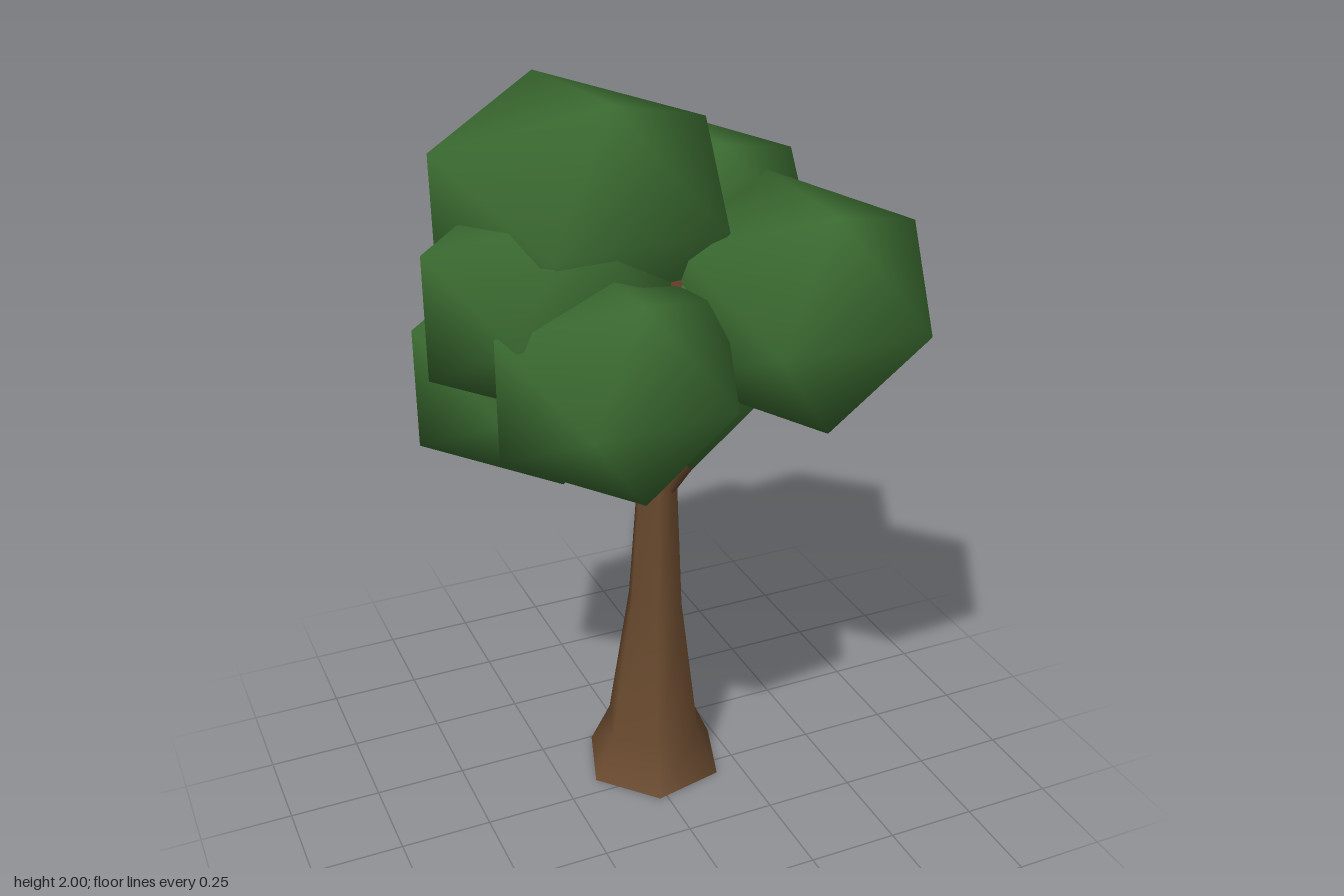
import * as THREE from 'three';
import { mergeVertices } from 'three/addons/utils/BufferGeometryUtils.js';

const material = (name, color) => {
  const m = new THREE.MeshStandardMaterial({ color });
  m.name = name;
  return m;
};

// Tapered limb through horizontal rings [x, y, z, radius], smooth sides and flat end caps
function limb(rings, sides, turn = 0) {
  const pos = [], index = [];
  const addRing = ([x, y, z, r]) => {
    const start = pos.length / 3;
    for (let i = 0; i < sides; i++) {
      const a = turn + (i / sides) * Math.PI * 2;
      pos.push(x + r * Math.sin(a), y, z + r * Math.cos(a));
    }
    return start;
  };
  const starts = rings.map(addRing);
  for (let k = 0; k < rings.length - 1; k++) {
    for (let i = 0; i < sides; i++) {
      const j = (i + 1) % sides;
      const a = starts[k] + i, b = starts[k] + j, c = starts[k + 1] + j, d = starts[k + 1] + i;
      index.push(a, b, c, a, c, d);
    }
  }
  const bottom = addRing(rings[0]), top = addRing(rings[rings.length - 1]);
  for (let i = 1; i < sides - 1; i++) {
    index.push(bottom, bottom + i + 1, bottom + i, top, top + i, top + i + 1);
  }
  const g = new THREE.BufferGeometry();
  g.setAttribute('position', new THREE.Float32BufferAttribute(pos, 3));
  g.setIndex(index);
  g.computeVertexNormals();
  return g;
}

// Smooth-shaded twenty-sided clump with half extents of 1 and its top edge along z
function clumpGeometry() {
  const g = new THREE.IcosahedronGeometry(1.1756, 0);
  g.deleteAttribute('uv');
  g.deleteAttribute('normal');
  const merged = mergeVertices(g, 1e-3);
  merged.rotateY(Math.PI / 2);
  merged.computeVertexNormals();
  return merged;
}

export function createModel() {
  const tree = new THREE.Group();
  tree.name = 'tree';
  const bark = material('bark brown', 0x6b4b2f);
  const leaf = material('leaf green', 0x3a6a30);
  const wood = material('inner red brown', 0x6b402a);

  const add = (name, geometry, mat, parent = tree) => {
    const mesh = new THREE.Mesh(geometry, mat);
    mesh.name = name;
    parent.add(mesh);
    return mesh;
  };

  // Leaning trunk with a flared foot
  add('trunk', limb([
    [0.04, 0.005, -0.095, 0.203],
    [0.04, 0.14, -0.095, 0.141],
    [0.035, 0.57, -0.07, 0.08],
    [0.026, 0.98, -0.035, 0.056],
    [0.02, 1.25, -0.02, 0.045],
  ], 6, THREE.MathUtils.degToRad(42)), bark);

  // Branches reaching into the crown
  const branches = {
    rightBranch: [[0.07, 0.92, -0.055, 0.012], [0.085, 1.0, -0.06, 0.028], [0.15, 1.14, -0.085, 0.023], [0.2, 1.27, -0.11, 0.015]],
    frontBranch: [[0.05, 0.93, -0.005, 0.012], [0.06, 1.0, 0.03, 0.026], [0.09, 1.12, 0.12, 0.022], [0.11, 1.19, 0.2, 0.012]],
    leftBranch: [[0.0, 0.95, -0.01, 0.012], [-0.01, 1.0, 0.005, 0.026], [-0.06, 1.12, 0.06, 0.022], [-0.1, 1.22, 0.1, 0.014]],
  };
  for (const [name, rings] of Object.entries(branches)) add(name, limb(rings, 5), bark);

  // Crown clumps: name, centre, half extents, yaw
  const crown = new THREE.Group();
  crown.name = 'crown';
  tree.add(crown);
  const clump = clumpGeometry();
  const clumps = [
    ['topClump', [-0.16, 1.705, -0.115], [0.365, 0.295, 0.37], 0.06],
    ['rightFrontClump', [0.29, 1.51, 0.205], [0.31, 0.27, 0.32], -0.05],
    ['rightBackClump', [0.19, 1.6, -0.215], [0.305, 0.245, 0.31], 0.05],
    ['frontClump', [-0.215, 1.41, 0.255], [0.288, 0.245, 0.285], 0.04],
    ['leftUpperClump', [-0.29, 1.55, 0.04], [0.31, 0.25, 0.275], 0.06],
    ['leftLowerClump', [-0.28, 1.305, -0.115], [0.31, 0.25, 0.285], 0.03],
    ['backClump', [-0.125, 1.45, -0.275], [0.27, 0.23, 0.272], 0.02],
    ['lowerMiddleClump', [0.02, 1.37, 0.0], [0.315, 0.27, 0.31], 0.02],
  ];
  for (const [name, centre, half, yaw] of clumps) {
    const mesh = add(name, clump, leaf, crown);
    mesh.position.set(...centre);
    mesh.scale.set(...half);
    mesh.rotation.y = yaw;
  }
  crown.getObjectByName('topClump').rotation.x = -0.04;

  // Woody heart glimpsed between the clumps
  const heart = add('crownHeart', clump, wood, crown);
  heart.position.set(-0.04, 1.46, -0.01);
  heart.scale.set(0.29, 0.245, 0.27);

  return tree;
}
